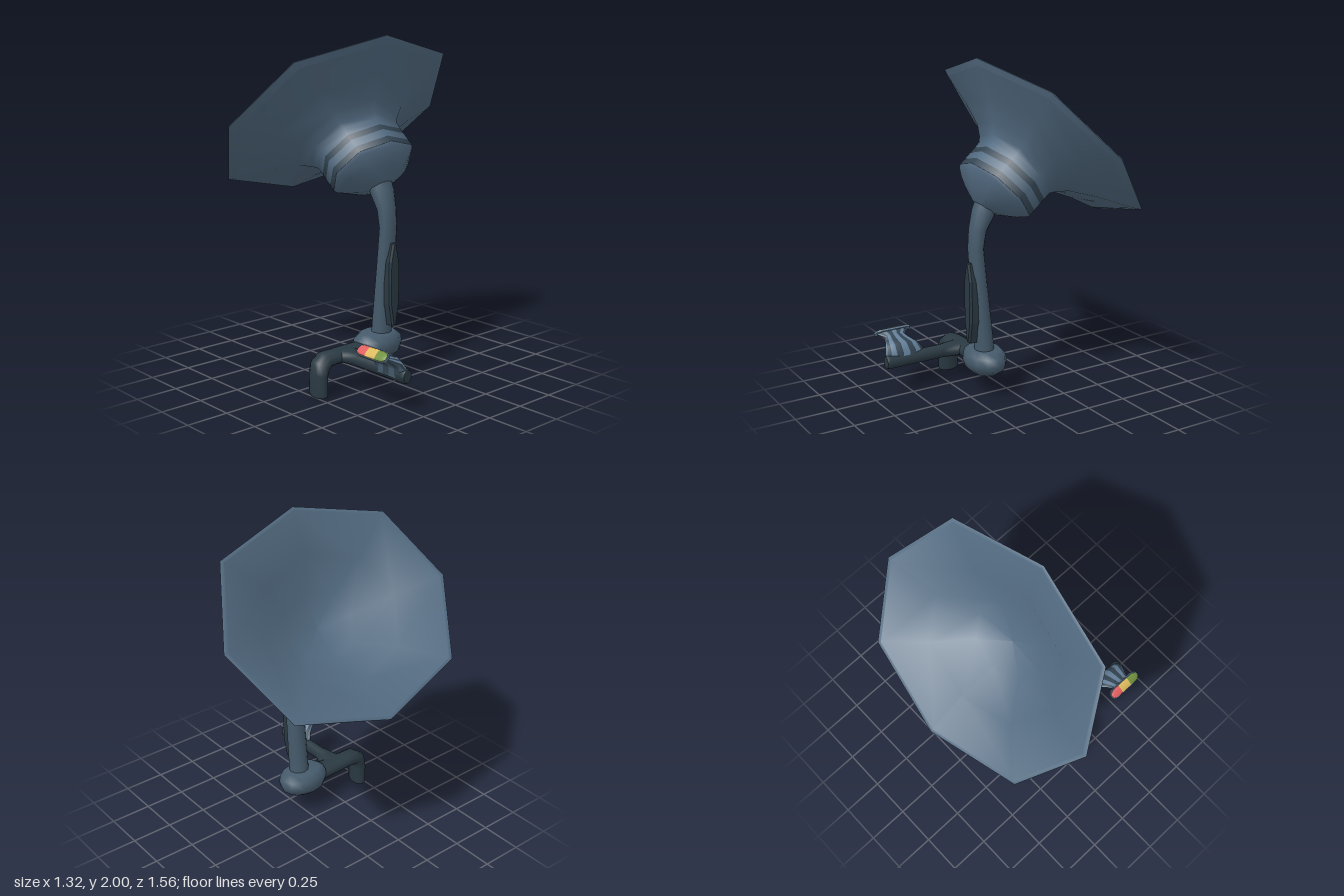
import * as THREE from 'three';

const V = (x, y, z) => new THREE.Vector3(x, y, z);
const paint = (name, color) => Object.assign(new THREE.MeshStandardMaterial({ color }), { name });

// Smooth capped loft: path rows are [x, y, z, halfWidth, halfHeight]; width runs along `side`.
function loft(path, side, sides) {
  const pos = [], index = [], n = path.length;
  const geo = new THREE.BufferGeometry();
  const rings = path.map(([x, y, z, w, h], i) => {
    const p = path[Math.max(i - 1, 0)], q = path[Math.min(i + 1, n - 1)];
    const t = V(q[0] - p[0], q[1] - p[1], q[2] - p[2]).normalize();
    const b = t.clone().cross(side);
    return Array.from({ length: sides }, (_, j) => {
      const a = (j / sides) * Math.PI * 2;
      return V(x, y, z).addScaledVector(side, w * Math.cos(a)).addScaledVector(b, h * Math.sin(a));
    });
  });
  rings.flat().forEach(p => pos.push(p.x, p.y, p.z));
  // one group per lengthwise strip, so strips can take their own material
  for (let j = 0; j < sides; j++) {
    geo.addGroup(index.length, (n - 1) * 6, j);
    const k = (j + 1) % sides;
    for (let i = 0; i < n - 1; i++) {
      const a = i * sides, c = a + sides;
      index.push(a + j, a + k, c + j, a + k, c + k, c + j);
    }
  }
  // end caps
  geo.addGroup(index.length, sides * 6, 0);
  [0, n - 1].forEach(r => {
    const base = pos.length / 3;
    pos.push(...path[r].slice(0, 3));
    rings[r].forEach(p => pos.push(p.x, p.y, p.z));
    for (let j = 0; j < sides; j++) {
      const a = base + 1 + j, b = base + 1 + (j + 1) % sides;
      index.push(...(r === 0 ? [base, b, a] : [base, a, b]));
    }
  });
  geo.setAttribute('position', new THREE.Float32BufferAttribute(pos, 3));
  geo.setIndex(index);
  geo.computeVertexNormals();
  return geo;
}

// Lathe from [radius, height] pairs
const lathe = (pts, sides) => new THREE.LatheGeometry(pts.map(p => new THREE.Vector2(...p)), sides);
const shape = pts => new THREE.Shape(pts.map(p => new THREE.Vector2(...p)));

// Eight-sided lathe whose diagonal corners are pushed out a little
function octagon(pts) {
  const geo = lathe(pts, 8), p = geo.attributes.position;
  for (let i = 0; i < p.count; i++) {
    const x = p.getX(i), z = p.getZ(i);
    if (Math.min(Math.abs(x), Math.abs(z)) > 1e-3) p.setXYZ(i, x * 1.035, p.getY(i), z * 1.035);
  }
  return geo;
}

export function createModel() {
  const slate = paint('slate blue', 0x526a80);
  const armBlue = paint('arm blue', 0x455a6b);
  const bandDark = paint('band dark', 0x334452);
  const dark = paint('dark pipe', 0x2a3942);
  const pale = paint('pale blue', 0x64809a);
  const red = paint('red', 0xe05f60);
  const yellow = paint('yellow', 0xdcb95c);
  const green = paint('green', 0x6f8f3c);

  const model = new THREE.Group();
  const add = (parent, name, geo, mat) => {
    const mesh = new THREE.Mesh(geo, mat);
    mesh.name = name;
    parent.add(mesh);
    return mesh;
  };

  // Tilted octagonal horn; its local y axis points out of the mouth
  const horn = new THREE.Group();
  horn.name = 'horn';
  horn.position.set(-0.235, 1.517, 0);
  horn.rotation.z = Math.atan2(0.75, 0.661);
  horn.scale.z = 1.21;
  model.add(horn);
  add(horn, 'bowlBase', octagon([[0, -0.555], [0.055, -0.545], [0.13, -0.507], [0.182, -0.472],
    [0.22, -0.437], [0.228, -0.418]]), slate);
  add(horn, 'rearBand', octagon([[0.228, -0.418], [0.228, -0.378]]), bandDark);
  add(horn, 'bowlMiddle', octagon([[0.228, -0.378], [0.228, -0.328]]), slate);
  add(horn, 'frontBand', octagon([[0.228, -0.328], [0.228, -0.29]]), bandDark);
  add(horn, 'hornOuter', octagon([[0.228, -0.29], [0.23, -0.245], [0.25, -0.215], [0.3, -0.166],
    [0.43, -0.098], [0.605, -0.027]]), slate);
  add(horn, 'hornLip', octagon([[0.605, -0.027], [0.643, -0.006]]), slate);
  add(horn, 'hornRim', octagon([[0.643, -0.006], [0.64, 0], [0.622, -0.003]]), slate);
  add(horn, 'hornInner', octagon([[0.622, -0.003], [0.38, -0.089], [0.2, -0.251], [0, -0.28]]), slate);

  // Curved arm carrying the horn
  add(model, 'arm', loft([[0.15, 0.24, 0, 0.062, 0.058], [0.168, 0.45, 0, 0.06, 0.054], [0.19, 0.7, 0, 0.058, 0.048],
    [0.207, 0.91, 0, 0.056, 0.044], [0.194, 1.02, 0, 0.06, 0.05], [0.16, 1.11, 0, 0.074, 0.064],
    [0.12, 1.19, 0, 0.08, 0.07]], V(0, 0, 1), 12), armBlue);

  // Spindle-shaped grip on the back of the arm
  const half = [[0.006, 0.35], [0.027, 0.47], [0.03, 0.6], [0.027, 0.72], [0.006, 0.82]];
  const gripShape = shape([...half, ...half.map(([x, y]) => [-x, y]).reverse()]);
  const grip = add(model, 'grip', new THREE.ExtrudeGeometry(gripShape,
    { depth: 0.055, bevelSize: 0.009, bevelThickness: 0.012, bevelSegments: 1 }), dark);
  grip.rotation.y = Math.PI / 2;
  grip.position.x = 0.2;

  // Flattened base bulb
  const bulb = add(model, 'baseBulb', lathe([[0, 0.13], [0.075, 0.138], [0.11, 0.17], [0.12, 0.21],
    [0.115, 0.255], [0.085, 0.286], [0, 0.292]], 12), armBlue);
  bulb.position.set(0.14, 0, 0.02);
  bulb.scale.z = 1.35;

  // Pipe running forward and bending down to the ground
  add(model, 'footPipe', loft([[0.14, 0.205, 0.08, 0.068, 0.046], [0.14, 0.208, 0.36, 0.066, 0.042],
    [0.14, 0.205, 0.425, 0.066, 0.046], [0.14, 0.18, 0.458, 0.067, 0.05], [0.14, 0.13, 0.47, 0.067, 0.041],
    [0.14, 0.015, 0.47, 0.067, 0.041], [0.14, 0, 0.47, 0.058, 0.034]], V(1, 0, 0), 12), dark);

  // Side branch, widening at its root
  add(model, 'sideBranch', loft([[0.14, 0.208, 0.28, 0.1, 0.042], [0.21, 0.208, 0.28, 0.07, 0.042],
    [0.29, 0.208, 0.282, 0.038, 0.042], [0.645, 0.208, 0.282, 0.037, 0.043], [0.66, 0.208, 0.282, 0.03, 0.036]],
  V(0, 0, 1), 12), dark);

  // Neck that rises from the branch and flares to the panel; pale stripes above, muted ones below
  const stripes = Array.from({ length: 18 }, (_, j) => j % 2 ? bandDark : j < 9 ? pale : armBlue);
  add(model, 'panelNeck', loft([[0.53, 0.195, 0.288, 0.13, 0.036], [0.533, 0.25, 0.291, 0.124, 0.035],
    [0.538, 0.283, 0.312, 0.108, 0.032], [0.544, 0.305, 0.355, 0.083, 0.019], [0.545, 0.322, 0.392, 0.066, 0.014],
    [0.545, 0.336, 0.422, 0.1, 0.026]], V(1, 0, 0), 18), stripes);

  // Tilted panel with three softly domed coloured fields
  const panel = new THREE.Group();
  panel.name = 'panel';
  panel.position.set(0.545, 0.337, 0.425);
  panel.rotation.x = -0.85;
  model.add(panel);
  const end = s => [[0.085, -0.035], [0.107, -0.027], [0.115, -0.012], [0.115, 0.012], [0.107, 0.027], [0.085, 0.035]]
    .map(([x, y]) => [s * x, s * y]);
  add(panel, 'panelFrame', new THREE.ExtrudeGeometry(shape([...end(1), ...end(-1)]),
    { depth: 0.012, bevelEnabled: false }), pale);
  const field = (name, rows, mat) => add(panel, name,
    loft(rows.map(([x, w]) => [x, 0, 0.012, w, w * 0.3]), V(0, 1, 0), 16), mat);
  field('redField', [[-0.11, 0.01], [-0.102, 0.021], [-0.085, 0.03], [-0.037, 0.031]], red);
  field('yellowField', [[-0.037, 0.031], [0.037, 0.031]], yellow);
  field('greenField', [[0.037, 0.031], [0.085, 0.03], [0.102, 0.021], [0.11, 0.01]], green);

  return model;
}
